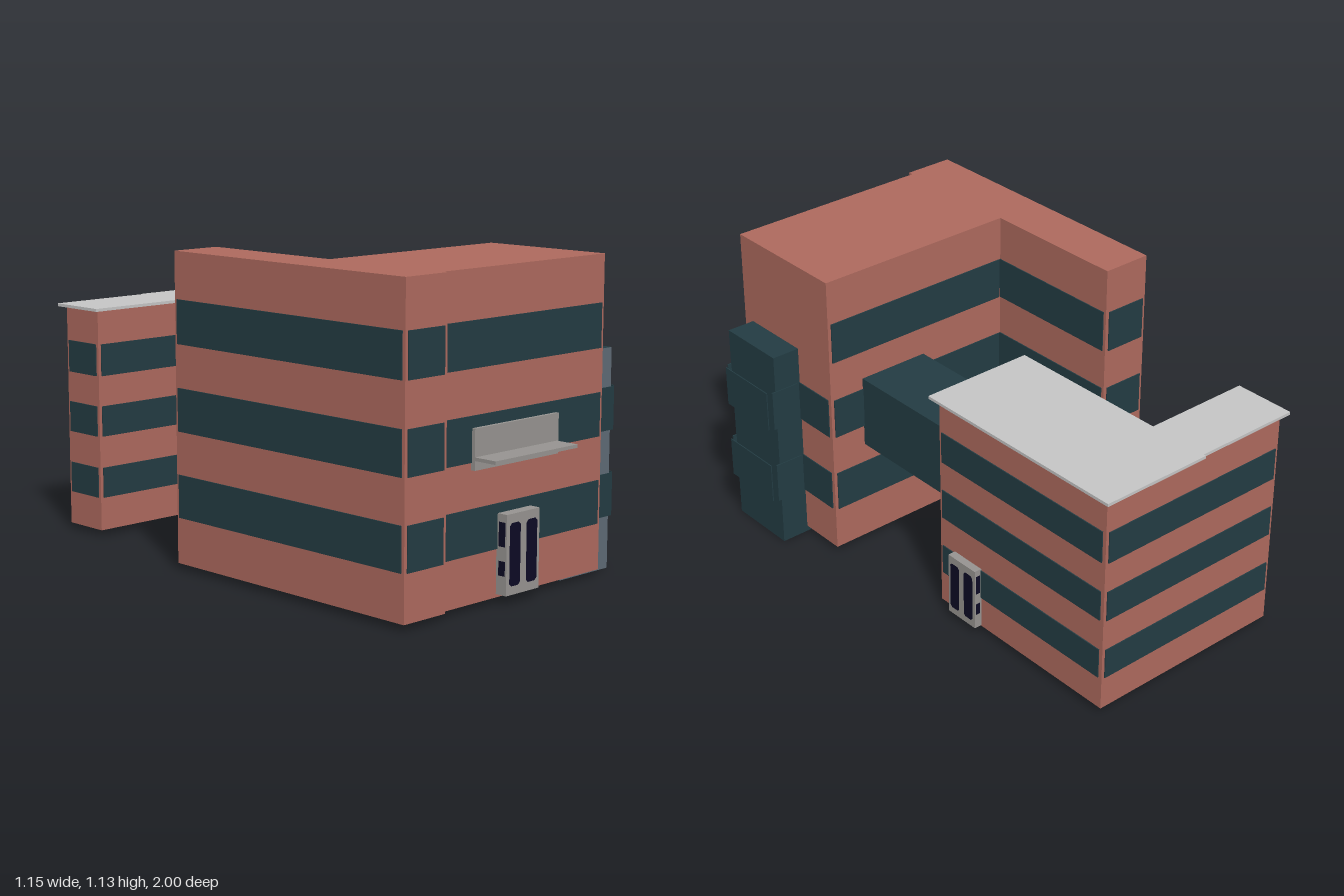
import * as THREE from 'three';

const mat = (name, color) => {
  const m = new THREE.MeshStandardMaterial({ color });
  m.name = name;
  return m;
};

export function createModel() {
  const brick = mat('brick', 0xae6a5e);
  const glass = mat('tealGlass', 0x233c43);
  const slate = mat('slate', 0x5f6b75);
  const grey = mat('doorGrey', 0x979491);
  const roofGrey = mat('roofGrey', 0xc6c6c6);
  const dark = mat('darkPane', 0x0c0a24);

  const model = new THREE.Group();
  model.name = 'officeBuilding';

  const add = (parent, name, geometry, material) => {
    const mesh = new THREE.Mesh(geometry, material);
    mesh.name = name;
    parent.add(mesh);
    return mesh;
  };
  const group = (name) => {
    const g = new THREE.Group();
    g.name = name;
    model.add(g);
    return g;
  };
  // Box given by its extents
  const box = (parent, name, [x0, x1], [y0, y1], [z0, z1], material) => {
    const g = new THREE.BoxGeometry(x1 - x0, y1 - y0, z1 - z0);
    g.translate((x0 + x1) / 2, (y0 + y1) / 2, (z0 + z1) / 2);
    return add(parent, name, g, material);
  };
  // Upright prism from a plan outline of [x, z] points
  const prism = (parent, name, plan, y0, y1, material) => {
    const shape = new THREE.Shape(plan.map(([x, z]) => new THREE.Vector2(x, -z)));
    const g = new THREE.ExtrudeGeometry(shape, { depth: y1 - y0, bevelEnabled: false });
    g.rotateX(-Math.PI / 2).translate(0, y0, 0);
    return add(parent, name, g, material);
  };
  // Window strips: thin plates on a wall at constant z or constant x
  const T = 0.004;
  const stripZ = (parent, x, z, levels) =>
    levels.forEach((y) => box(parent, 'windowStrip', x, y, [z - T, z + T], glass));
  const stripX = (parent, x, z, levels) =>
    levels.forEach((y) => box(parent, 'windowStrip', [x - T, x + T], y, z, glass));

  // Front building: L plan with a slightly proud wing
  const front = group('frontBuilding');
  prism(front, 'frontWalls', [
    [-0.57, 0.912], [-0.378, 0.912], [-0.378, 0.893], [0.43, 0.893],
    [0.43, 0.375], [-0.378, 0.375], [-0.378, -0.2], [-0.57, -0.2],
  ], 0.023, 1.135, brick);
  const floors = [[0.19, 0.345], [0.5, 0.655], [0.81, 0.967]];
  stripZ(front, [-0.558, -0.392], 0.912, floors);
  stripZ(front, [-0.378, 0.417], 0.893, floors);
  stripZ(front, [-0.37, 0.417], 0.375, floors);
  stripZ(front, [-0.558, -0.392], -0.2, floors);
  stripX(front, -0.57, [-0.188, 0.9], floors);
  stripX(front, -0.378, [-0.188, 0.375], floors);
  stripX(front, 0.43, [0.39, 0.88], floors.slice(0, 2));

  // Side tower with slate front and underside
  const tower = group('sideTower');
  box(tower, 'towerShaft', [0.28, 0.54], [0, 0.795], [0.565, 0.845],
    [glass, glass, glass, slate, slate, glass]);
  floors.slice(0, 2).forEach((y) => {
    box(tower, 'towerFrontPane', [0.442, 0.555], y, [0.843, 0.848], glass);
    box(tower, 'towerBackPane', [0.442, 0.555], y, [0.562, 0.567], glass);
    box(tower, 'towerSidePane', [0.569, 0.573], y, [0.575, 0.832], glass);
  });

  // Glass bridge between the buildings
  box(model, 'bridge', [0, 0.285], [0.42, 0.698], [-0.14, 0.38], glass);

  // Rear building: smaller L plan under a thin overhanging roof
  const rear = group('rearBuilding');
  prism(rear, 'rearWalls', [
    [-0.04, -0.135], [0.343, -0.135], [0.343, -0.97],
    [-0.46, -0.97], [-0.46, -0.782], [-0.04, -0.782],
  ], 0.023, 0.862, brick);
  prism(rear, 'rearRoof', [
    [-0.07, -0.11], [0.37, -0.11], [0.37, -1], [-0.07, -1],
    [-0.07, -0.99], [-0.487, -0.99], [-0.487, -0.755], [-0.07, -0.755],
  ], 0.861, 0.872, roofGrey);
  const rearFloors = [[0.148, 0.263], [0.383, 0.498], [0.613, 0.733]];
  stripX(rear, 0.343, [-0.955, -0.147], rearFloors);
  stripX(rear, -0.04, [-0.775, -0.147], rearFloors);
  stripX(rear, -0.46, [-0.958, -0.794], rearFloors);
  stripZ(rear, [-0.028, 0.331], -0.135, rearFloors);
  stripZ(rear, [-0.448, -0.045], -0.782, rearFloors);
  stripZ(rear, [-0.448, 0.331], -0.97, rearFloors);

  // Double door facing +z, with chamfered dark panes, origin at bottom centre of the wall
  const door = (name, w, h, d) => {
    const g = group(name);
    box(g, 'doorFrame', [-w / 2, w / 2], [0, h], [-0.01, d], grey);
    const a = w * 0.165, b = h * 0.39, c = w * 0.06;
    const pane = new THREE.Shape([
      [-a, c - b], [c - a, -b], [a - c, -b], [a, c - b],
      [a, b - c], [a - c, b], [c - a, b], [-a, b - c],
    ].map(([x, y]) => new THREE.Vector2(x, y)));
    for (const s of [-1, 1]) {
      const p = add(g, 'doorPane', new THREE.ShapeGeometry(pane), dark);
      p.position.set(s * w * 0.255, h / 2, d + 0.002);
      // Small side lights on the frame
      for (const y of [[h * 0.24, h * 0.42], [h * 0.6, h * 0.9]]) {
        const x = s * w / 2;
        box(g, 'sideLight', [x - 0.002, x + 0.002], y, [d * 0.25, d * 0.85], dark);
      }
    }
    return g;
  };
  door('frontDoor', 0.165, 0.277, 0.045).position.set(-0.027, 0.035, 0.893);
  const sideDoor = door('sideDoor', 0.143, 0.243, 0.03);
  sideDoor.position.set(0.343, 0.026, -0.283);
  sideDoor.rotation.y = Math.PI / 2;

  // Entrance canopy with its back board
  const canopy = group('entranceCanopy');
  box(canopy, 'canopyBoard', [-0.24, 0.18], [0.475, 0.615], [0.885, 0.91], grey);
  box(canopy, 'canopyShelf', [-0.24, 0.172], [0.508, 0.52], [0.905, 1], grey);

  return model;
}
